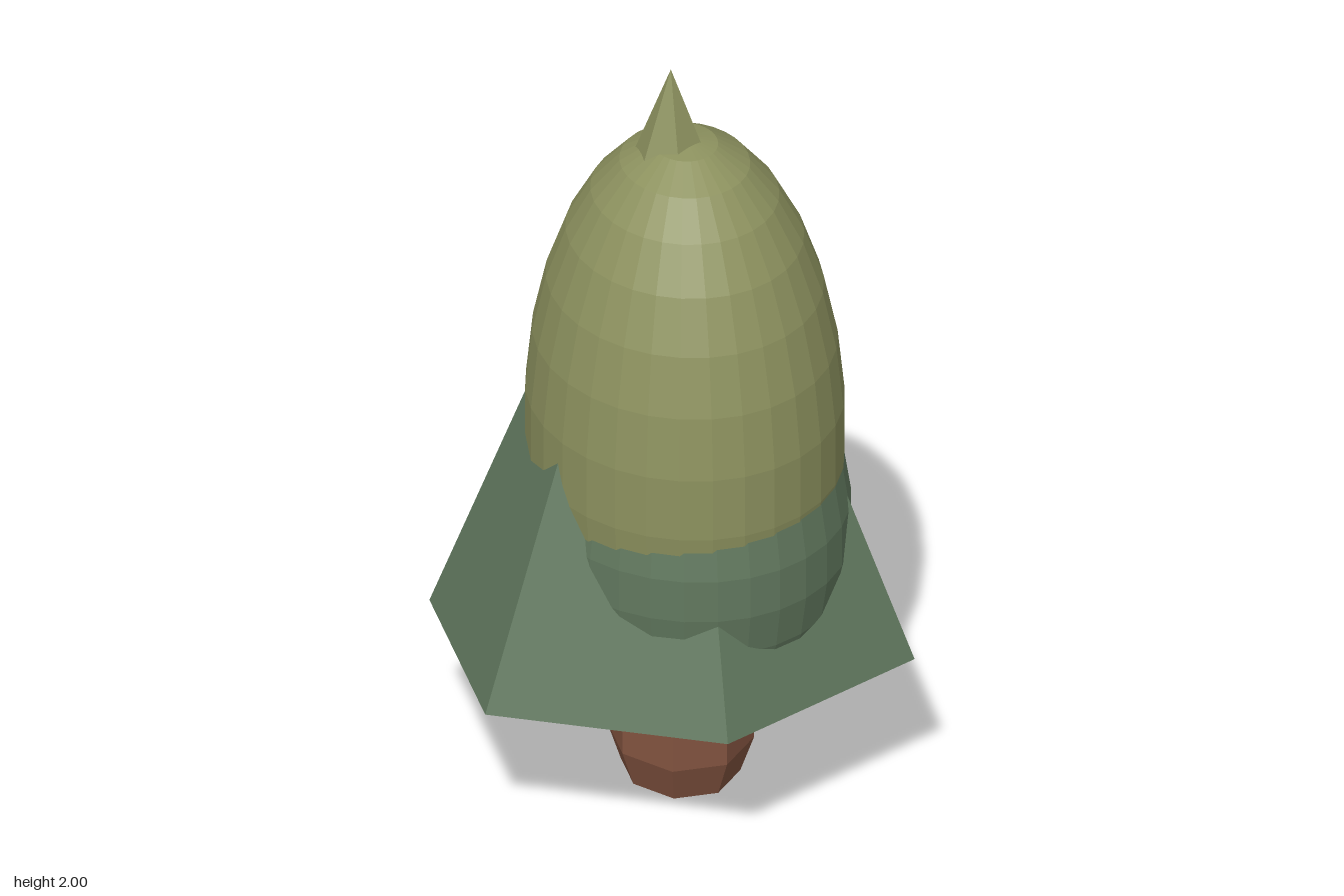
import * as THREE from 'three';

function flat(name, color) {
  const m = new THREE.MeshStandardMaterial({ color, flatShading: true });
  m.name = name;
  return m;
}

export function createModel() {
  const model = new THREE.Group();
  model.name = 'stylisedTree';
  const olive = flat('olive', 0x8d925f);
  const green = flat('green', 0x62795f);
  const brown = flat('brown', 0x835440);

  function add(name, geometry, material, x = 0, y = 0, z = 0) {
    const mesh = new THREE.Mesh(geometry, material);
    mesh.name = name;
    mesh.position.set(x, y, z);
    model.add(mesh);
    return mesh;
  }

  const ellipsoid = (rx, ry, rz) => new THREE.SphereGeometry(1, 30, 15).scale(rx, ry, rz);

  // Slice of one six-sided pyramid whose apex is at y = 2
  const BASE_Y = 0.39, APEX_Y = 2, BASE_R = 0.565, STRETCH_X = 1.114;
  function pyramidSlice(y0, y1) {
    const radius = (y) => BASE_R * (APEX_Y - y) / (APEX_Y - BASE_Y);
    return new THREE.CylinderGeometry(radius(y1), radius(y0), y1 - y0, 6)
      .scale(STRETCH_X, 1, 1)
      .translate(0, (y0 + y1) / 2, 0);
  }

  // Foliage: tall upper dome overlapping a squatter lower bulb
  add('upperFoliage', ellipsoid(0.393, 0.81, 0.453), olive, 0.03, 1.0, 0.01);
  add('lowerFoliage', ellipsoid(0.397, 0.545, 0.454), green, 0.04, 0.742, 0.02);

  // Pyramid: wide skirt below, pointed tip above the dome
  add('skirt', pyramidSlice(BASE_Y, 1.1), green);
  add('topSpike', pyramidSlice(1.74, APEX_Y), olive, -0.003);

  // Eight-sided trunk, tapering at the foot
  const profile = [[0, 0], [0.147, 0], [0.181, 0.1], [0.181, 0.2], [0.17, 0.26], [0, 0.26]]
    .map(([r, y]) => new THREE.Vector2(r, y));
  const trunk = new THREE.LatheGeometry(profile, 8).rotateY(Math.PI / 8).scale(1, 1, 1.17);
  add('trunk', trunk, brown, 0.022, 0, -0.003);

  return model;
}
